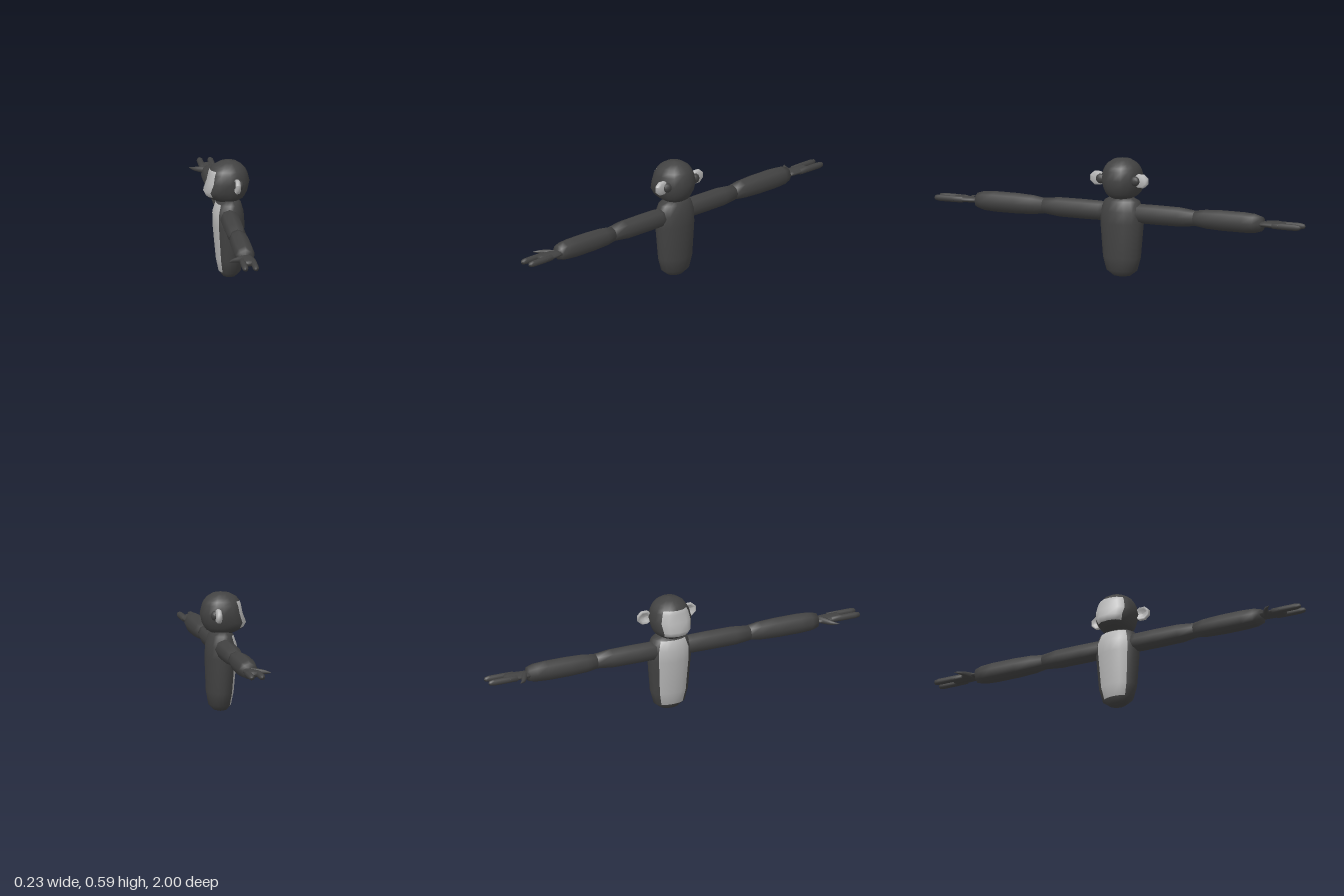
import * as THREE from 'three';

const dark = new THREE.MeshStandardMaterial({ color: 0x424242 });
dark.name = 'charcoalFur';
const light = new THREE.MeshStandardMaterial({ color: 0xb6b6b6 });
light.name = 'paleGreySkin';

const SEG = 16;
const MID = { x: 0.01, z: -0.014 };

function mesh(name, geometry, material, parent) {
  const m = new THREE.Mesh(geometry, material);
  m.name = name;
  parent.add(m);
  return m;
}

// Loft of rings [y, back depth, front depth, half width, squareness]; the face points to -x.
// Faces of the front quarter between rows from..to take the pale colour.
function loft(rings, from, to) {
  const pos = [], darkIdx = [], lightIdx = [];
  const pw = (v, e) => Math.sign(v) * Math.pow(Math.abs(v), e);
  for (const [y, back, front, half, e = 1] of rings) {
    for (let j = 0; j < SEG; j++) {
      const a = (j / SEG) * Math.PI * 2, c = Math.cos(a), s = Math.sin(a);
      const x = c < 0 ? front * pw(c, e) : back * c;
      pos.push(MID.x + x, y, MID.z + half * pw(s, c < 0 ? e : 1));
    }
  }
  for (let i = 0; i < rings.length - 1; i++) {
    for (let j = 0; j < SEG; j++) {
      const k = (j + 1) % SEG;
      const a = i * SEG + j, b = i * SEG + k, d = a + SEG, c = b + SEG;
      const list = i >= from && i < to && j >= 6 && j <= 9 ? lightIdx : darkIdx;
      list.push(a, d, b, b, d, c);
    }
  }
  const g = new THREE.BufferGeometry();
  g.setAttribute('position', new THREE.Float32BufferAttribute(pos, 3));
  g.setIndex([...darkIdx, ...lightIdx]);
  g.addGroup(0, darkIdx.length, 0);
  g.addGroup(darkIdx.length, lightIdx.length, 1);
  g.computeVertexNormals();
  return g;
}

// Round limb along +z from [radius, z] pairs
function limb(profile, sides = 8) {
  const g = new THREE.LatheGeometry(profile.map(([r, z]) => new THREE.Vector2(r, z)), sides);
  return g.rotateX(Math.PI / 2);
}

// One arm pointing along +z
function buildArm(name) {
  const arm = new THREE.Group();
  arm.name = name;
  mesh('upperArm', limb([[0, 0.05], [0.04, 0.055], [0.048, 0.1], [0.049, 0.2], [0.048, 0.33],
    [0.038, 0.415], [0, 0.43]]), dark, arm);
  mesh('forearm', limb([[0, 0.395], [0.038, 0.41], [0.047, 0.47], [0.051, 0.56], [0.051, 0.68],
    [0.047, 0.74], [0.036, 0.776], [0, 0.785]]), dark, arm);

  // Flattened palm
  const palm = limb([[0, 0.765], [0.034, 0.77], [0.037, 0.8], [0.041, 0.85], [0.042, 0.89], [0.03, 0.902], [0, 0.905]], 10);
  palm.scale(1, 0.38, 1).computeVertexNormals();
  mesh('palm', palm, dark, arm);

  // Two fingers
  for (const x of [-0.026, 0.026]) {
    const finger = limb([[0, 0.84], [0.015, 0.845], [0.016, 0.9], [0.016, 0.97], [0.012, 0.992], [0, 1]]);
    mesh('finger', finger.translate(x, 0, 0), dark, arm);
  }

  // Hooked thumb, tapered toward its tip
  const path = new THREE.CatmullRomCurve3([
    new THREE.Vector3(-0.005, 0, 0.795), new THREE.Vector3(-0.04, 0, 0.815),
    new THREE.Vector3(-0.07, 0, 0.832), new THREE.Vector3(-0.092, 0, 0.858)]);
  const thumb = new THREE.TubeGeometry(path, 8, 0.017, 8);
  const p = thumb.attributes.position, v = new THREE.Vector3();
  for (let i = 0; i < p.count; i++) {
    const t = Math.floor(i / 9) / 8, centre = path.getPointAt(t);
    v.fromBufferAttribute(p, i).sub(centre).multiplyScalar(1 - 0.95 * t * t).add(centre);
    p.setXYZ(i, v.x, v.y, v.z);
  }
  thumb.computeVertexNormals();
  mesh('thumb', thumb, dark, arm);

  arm.position.set(0.005, 0.32, 0);
  return arm;
}

// Cupped ear with its hollow facing -x, on a short stalk
function buildEar(side) {
  const ear = new THREE.Group();
  ear.name = side > 0 ? 'nearEar' : 'farEar';
  const cup = new THREE.LatheGeometry([[0, -0.012], [0.75, -0.012], [1, -0.004], [1, 0.008],
    [0.85, 0.014], [0.6, 0.004], [0, 0]].map(([r, h]) => new THREE.Vector2(r, h)), 8, Math.PI / 8);
  cup.rotateZ(Math.PI / 2).scale(1, 0.036, 0.041).computeVertexNormals();
  mesh('earCup', cup, light, ear).position.set(0.042, 0.487, MID.z + side * 0.118);
  const stalk = new THREE.SphereGeometry(1, 10, 8).scale(0.018, 0.024, 0.024);
  mesh('earStalk', stalk, dark, ear).position.set(0.056, 0.487, MID.z + side * 0.094);
  return ear;
}

export function createModel() {
  const model = new THREE.Group();
  model.name = 'ape';

  // Torso with pale belly
  mesh('torso', loft([
    [0.001, 0, 0, 0], [0.01, 0.035, 0.03, 0.045], [0.036, 0.06, 0.05, 0.08],
    [0.1, 0.072, 0.063, 0.098], [0.27, 0.078, 0.079, 0.112], [0.33, 0.074, 0.08, 0.112],
    [0.38, 0.06, 0.063, 0.092], [0.397, 0.04, 0.04, 0.06], [0.4, 0, 0, 0],
  ], 2, 6), [dark, light], model);

  // Head with pale face and broad muzzle
  mesh('head', loft([
    [0.384, 0, 0, 0], [0.388, 0.04, 0.06, 0.045], [0.405, 0.07, 0.095, 0.072],
    [0.418, 0.08, 0.112, 0.082, 0.8], [0.443, 0.093, 0.125, 0.092, 0.75],
    [0.487, 0.103, 0.108, 0.103, 0.8], [0.53, 0.092, 0.1, 0.093, 0.85],
    [0.548, 0.083, 0.092, 0.084, 0.9], [0.566, 0.068, 0.078, 0.07],
    [0.584, 0.04, 0.046, 0.042], [0.592, 0, 0, 0],
  ], 3, 7), [dark, light], model);

  for (const side of [1, -1]) {
    model.add(buildEar(side));
    const arm = buildArm(side > 0 ? 'nearArm' : 'farArm');
    if (side < 0) arm.rotation.x = Math.PI;
    model.add(arm);
  }
  return model;
}
